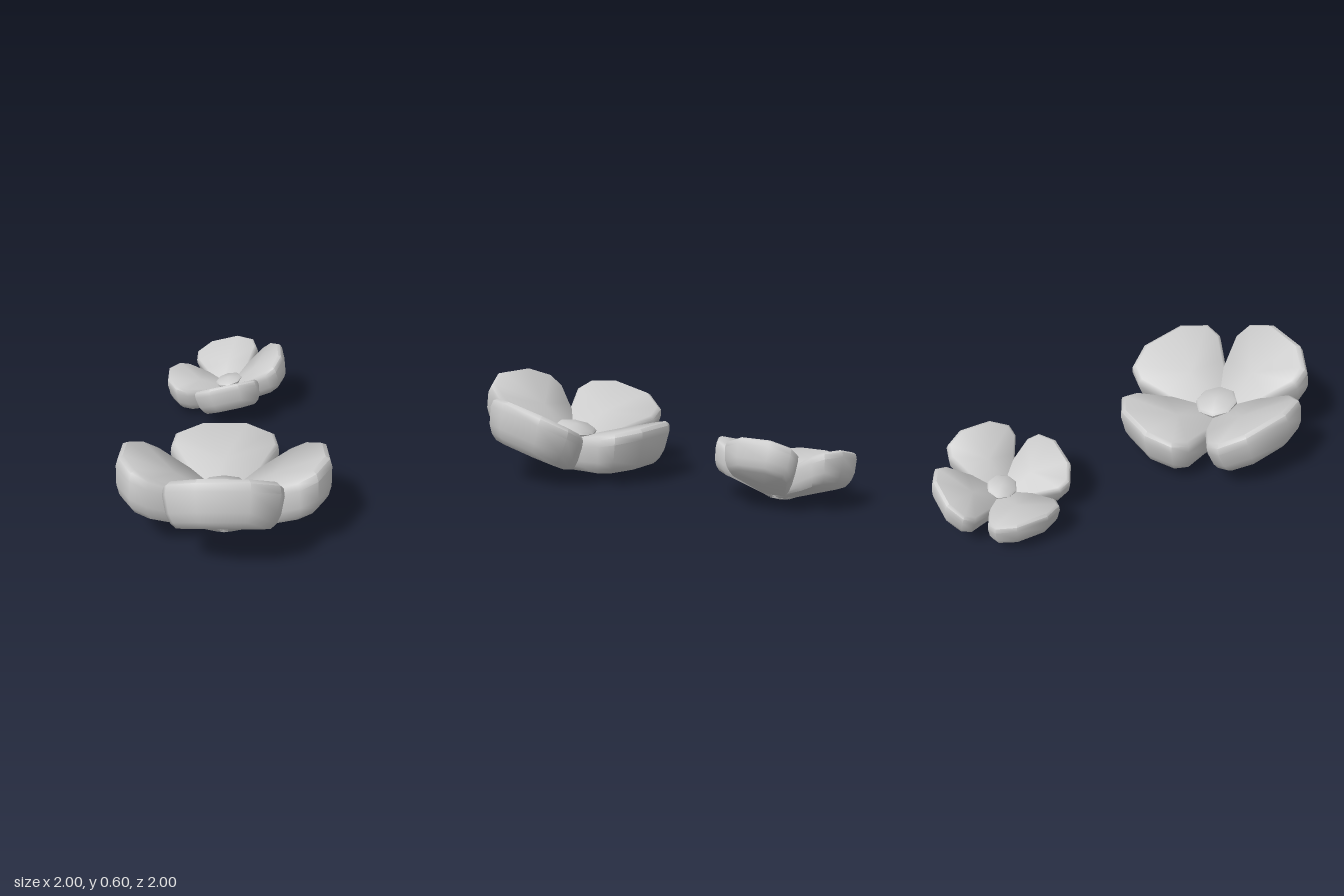
import * as THREE from 'three';
import { toCreasedNormals } from 'three/addons/utils/BufferGeometryUtils.js';

const material = new THREE.MeshStandardMaterial({ color: 0xcccccc });
const ELEVATION = 0.36;
const TILT = 0.24;

// Thick fan-shaped petal growing along -z: a rounded slab profile swept around
// the petal outline, flaring upward and thinner at the heart
function petalGeometry() {
  const right = [[0.09, 0], [0.218, 0.295], [0.292, 0.45], [0.272, 0.55], [0.13, 0.635]];
  const left = right.map(([x, s]) => [-x, s]).reverse();
  const outline = [...right, ...left];
  const middle = 0.33;

  // Each pair: share of the outline, height
  const profile = [[0, 0], [0.86, 0], [0.95, 0.03], [1, 0.08], [1, 0.185], [0.96, 0.23], [0.88, 0.253], [0, 0.248]];
  const points = profile.map(([k, h]) => new THREE.Vector2(k, h));
  const geometry = new THREE.LatheGeometry(points, outline.length);

  const p = geometry.attributes.position;
  for (let i = 0; i < p.count; i++) {
    const [k, h] = profile[i % profile.length];
    const [x, s] = outline[Math.floor(i / profile.length) % outline.length];
    const along = middle + k * (s - middle);
    const flare = 1 + 0.6 * h;
    p.setXYZ(i, k * x * flare, h * (0.74 + 0.43 * along), -along * flare);
  }
  geometry.rotateX(ELEVATION);
  return toCreasedNormals(geometry, 0.9);
}

// Eight-sided heart: a small foot below and a low dome on top
function heartGeometry() {
  const profile = [[0, 0.005], [0.08, 0.012], [0.1, 0.04], [0.135, 0.27], [0.12, 0.285], [0, 0.3]];
  const points = profile.map(([r, y]) => new THREE.Vector2(r, y));
  return toCreasedNormals(new THREE.LatheGeometry(points, 8), 0.8);
}

// Four petals around a heart, with the side facing (dx, dz) lifted
function createFlower(name, dx, dz, petal, heart) {
  const flower = new THREE.Group();
  flower.name = name;
  for (let i = 0; i < 4; i++) {
    const mesh = new THREE.Mesh(petal, material);
    mesh.name = 'petal';
    mesh.rotation.y = Math.PI / 4 + (i * Math.PI) / 2;
    flower.add(mesh);
  }
  const center = new THREE.Mesh(heart, material);
  center.name = 'flowerHeart';
  flower.add(center);

  const lifted = new THREE.Vector3(dx, 0, dz).normalize();
  const axis = lifted.cross(new THREE.Vector3(0, 1, 0));
  flower.quaternion.setFromAxisAngle(axis, TILT);
  return flower;
}

export function createModel() {
  const model = new THREE.Group();
  model.name = 'flowers';
  const petal = petalGeometry();
  const heart = heartGeometry();

  const large = createFlower('largeFlower', -1, 1, petal, heart);
  large.position.set(-0.483, 0.01, 0.488);

  const small = createFlower('smallFlower', 1, 1, petal, heart);
  small.scale.setScalar(0.67);
  small.position.set(0.66, 0.012, -0.573);

  model.add(large, small);
  return model;
}
